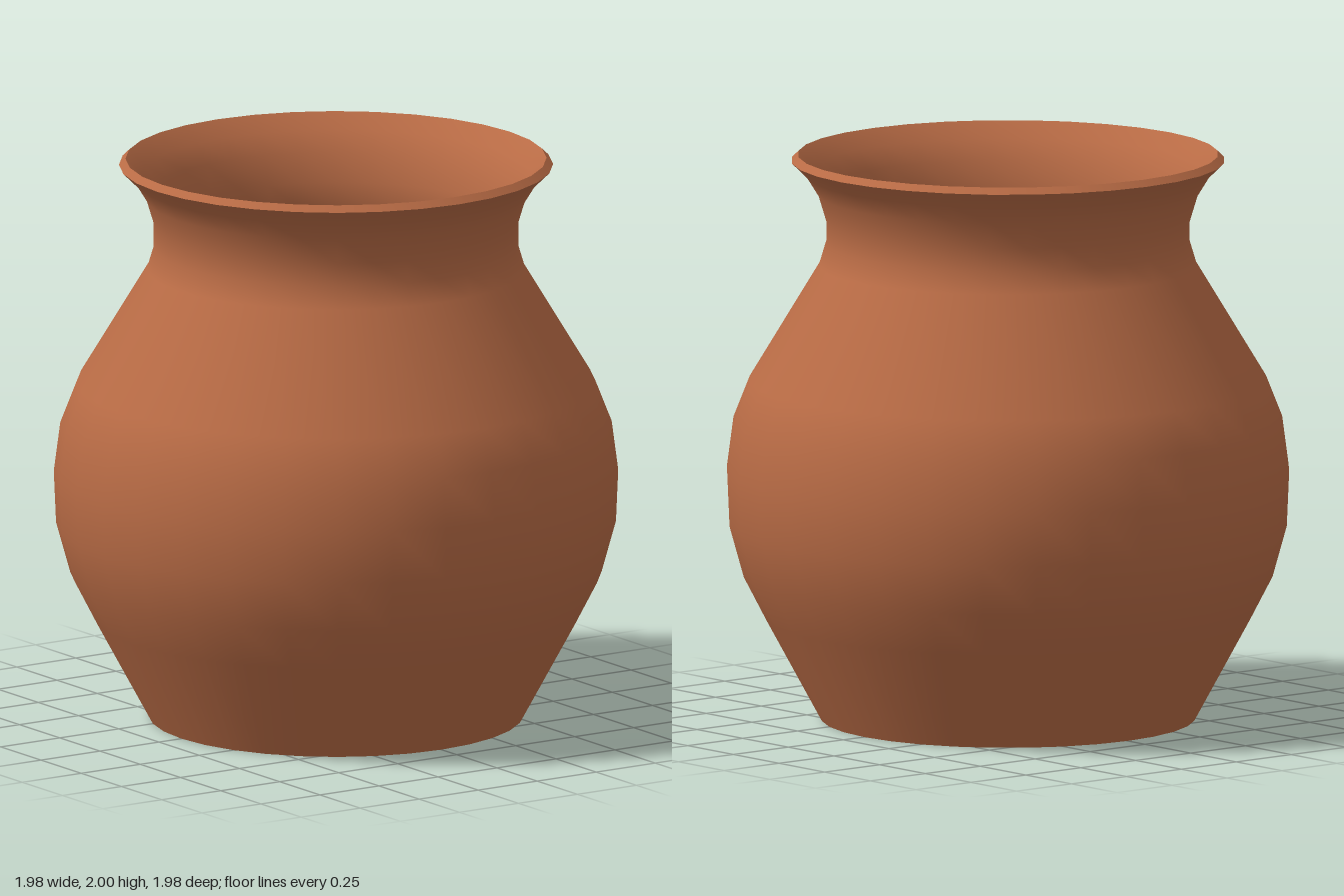
import * as THREE from 'three';

export function createModel() {
  const group = new THREE.Group();
  group.name = 'claypot';
  const clay = new THREE.MeshStandardMaterial({ color: 0xb86b45 });
  clay.name = 'terracotta';

  // Each surface is turned separately so the rim and base edges stay sharp
  const turn = (name, profile) => {
    const points = profile.map(([r, y]) => new THREE.Vector2(r, y));
    const mesh = new THREE.Mesh(new THREE.LatheGeometry(points, 32), clay);
    mesh.name = name;
    group.add(mesh);
  };

  // Outer profile from foot to rim: [radius, height]
  const outer = [
    [0.655, 0], [0.85, 0.36], [0.93, 0.515], [0.98, 0.695], [0.988, 0.88],
    [0.965, 1.055], [0.908, 1.2], [0.662, 1.607], [0.638, 1.687],
    [0.638, 1.767], [0.666, 1.86], [0.706, 1.925], [0.76, 1.978],
  ];

  // Inner profile from rim down to the floor
  const inner = [
    [0.737, 2], [0.68, 1.945], [0.635, 1.875], [0.605, 1.775], [0.602, 1.685],
    [0.63, 1.59], [0.873, 1.185], [0.93, 1.045], [0.952, 0.88],
    [0.945, 0.7], [0.896, 0.53], [0.818, 0.38], [0.635, 0.04],
  ];

  turn('base', [[0, 0], [0.655, 0]]);
  turn('outerWall', outer);
  turn('lip', [[0.76, 1.978], [0.737, 2]]);
  turn('innerWall', inner);
  turn('innerFloor', [[0.635, 0.04], [0, 0.04]]);

  return group;
}
